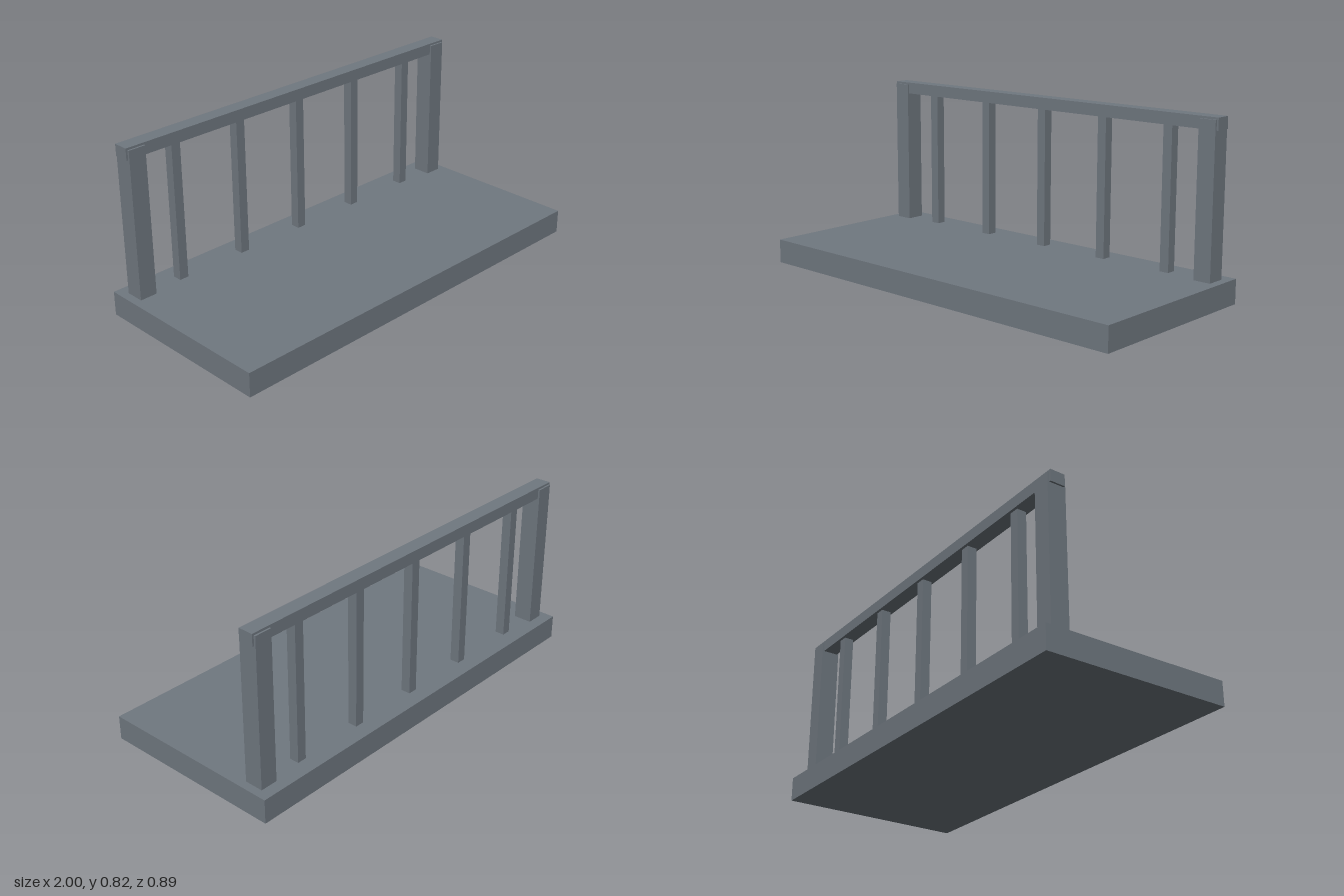
import * as THREE from 'three';

export function createModel() {
  const model = new THREE.Group();
  const slateGrey = new THREE.MeshStandardMaterial({ color: 0x707880 });
  slateGrey.name = 'slateGrey';

  const slabTop = 0.113;
  const railZ = -0.346;

  // Adds a box spanning bottom to top, centred on x and z
  function addBox(name, width, depth, bottom, top, x, z) {
    const mesh = new THREE.Mesh(new THREE.BoxGeometry(width, top - bottom, depth), slateGrey);
    mesh.name = name;
    mesh.position.set(x, (bottom + top) / 2, z);
    model.add(mesh);
  }

  // Floor slab
  addBox('floorSlab', 2, 0.89, 0, slabTop, 0, 0);

  // End posts, slightly deeper than the rail and just below its top
  for (const side of [-1, 1]) {
    addBox(side > 0 ? 'leftPost' : 'rightPost', 0.083, 0.088, slabTop, 0.81, side * 0.92, railZ);
  }

  // Handrail, overhanging the posts a little
  addBox('handrail', 1.94, 0.071, 0.765, 0.82, 0, railZ);

  // Evenly spaced balusters
  for (let i = -2; i <= 2; i++) {
    addBox('baluster' + (i + 3), 0.045, 0.045, slabTop, 0.77, i * 0.355, railZ);
  }

  return model;
}
